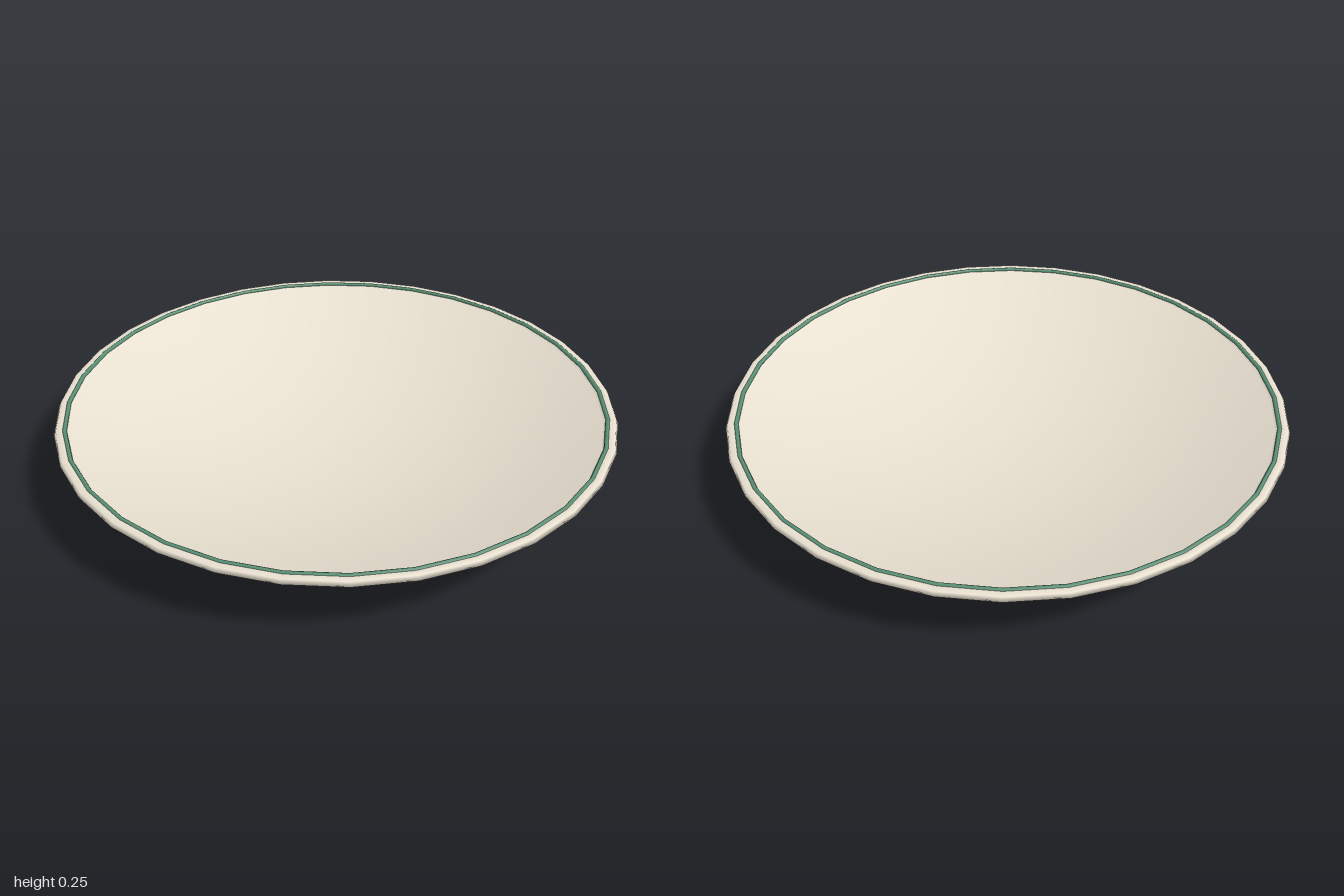
import * as THREE from 'three';

const SIDES = 32;

// Revolve a list of [radius, height] pairs around the y axis
function revolve(name, profile, color) {
  const points = profile.map(([r, y]) => new THREE.Vector2(r, y));
  const mesh = new THREE.Mesh(
    new THREE.LatheGeometry(points, SIDES),
    new THREE.MeshStandardMaterial({ color, side: THREE.DoubleSide })
  );
  mesh.name = name;
  return mesh;
}

export function createModel() {
  const plate = new THREE.Group();
  plate.name = 'plate';
  const cream = 0xe8e0d0;

  // Underside: flat foot, sloping wall, flared lip and rounded rim
  plate.add(revolve('underside', [
    [0, 0], [0.54, 0], [0.67, 0.06], [0.88, 0.2],
    [1, 0.235], [0.992, 0.249], [0.965, 0.248], [0.95, 0.238],
  ], cream));

  // Inside: shallow curved dish, from the rim down to the centre
  const dish = [];
  for (let i = 10; i >= 0; i--) {
    const t = i / 10;
    dish.push([0.95 * t, 0.04 + 0.198 * t * t]);
  }
  plate.add(revolve('dish', dish, cream));

  // Thin green line around the rim
  const band = new THREE.Mesh(
    new THREE.TorusGeometry(0.963, 0.008, 8, SIDES),
    new THREE.MeshStandardMaterial({ color: 0x5a8f74 })
  );
  band.name = 'rimBand';
  band.rotation.x = Math.PI / 2;
  band.position.y = 0.245;
  plate.add(band);

  return plate;
}
